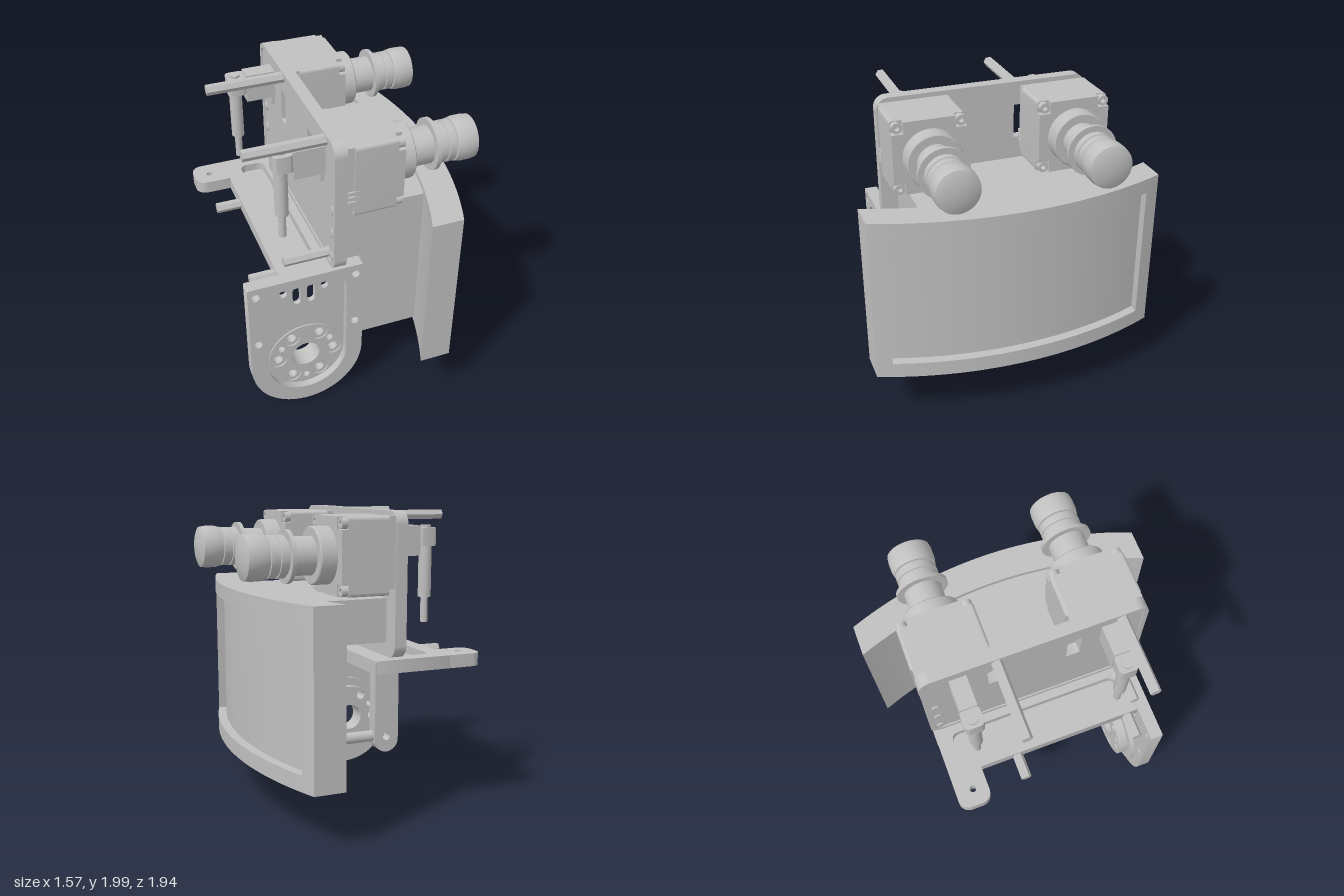
import * as THREE from 'three';
import { toCreasedNormals } from 'three/addons/utils/BufferGeometryUtils.js';

const metal = new THREE.MeshStandardMaterial({ color: 0xc0c0c0 });
metal.name = 'plain grey';

export function createModel() {
  const root = new THREE.Group();
  root.name = 'twinSwitchBracket';

  const add = (name, geometry, parent = root) => {
    const mesh = new THREE.Mesh(toCreasedNormals(geometry, 0.5), metal);
    mesh.name = name;
    parent.add(mesh);
    return mesh;
  };
  const box = (name, x0, x1, y0, y1, z0, z1, parent) =>
    add(name, new THREE.BoxGeometry(x1 - x0, y1 - y0, z1 - z0)
      .translate((x0 + x1) / 2, (y0 + y1) / 2, (z0 + z1) / 2), parent);

  // Extrusions along each axis; shapes lie in (x,y), (z,y) and (x,z)
  const extrude = (s, depth) => new THREE.ExtrudeGeometry(s, { depth, bevelEnabled: false, curveSegments: 16 });
  const alongZ = (name, s, z0, z1, parent) => add(name, extrude(s, z1 - z0).translate(0, 0, z0), parent);
  const alongX = (name, s, x0, x1, parent) => add(name, extrude(s, x1 - x0).rotateY(-Math.PI / 2).translate(x1, 0, 0), parent);
  const alongY = (name, s, y0, y1, parent) => add(name, extrude(s, y1 - y0).rotateX(Math.PI / 2).translate(0, y1, 0), parent);

  const circle = (x, y, r) => new THREE.Shape().absarc(x, y, r, 0, Math.PI * 2, false);
  const rounded = (x0, y0, x1, y1, r) => {
    const s = new THREE.Shape(), h = Math.PI / 2;
    s.absarc(x1 - r, y1 - r, r, 0, h, false);
    s.absarc(x0 + r, y1 - r, r, h, 2 * h, false);
    s.absarc(x0 + r, y0 + r, r, 2 * h, 3 * h, false);
    s.absarc(x1 - r, y0 + r, r, 3 * h, 4 * h, false);
    s.closePath();
    return s;
  };
  const cut = (s, ...holes) => { s.holes.push(...holes); return s; };
  // Outline with a semicircular lower end and rounded upper corners
  const uShape = (cx, cy, r, top, c) => {
    const s = new THREE.Shape();
    s.absarc(cx, cy, r, Math.PI, Math.PI * 2, false);
    s.absarc(cx + r - c, top - c, c, 0, Math.PI / 2, false);
    s.absarc(cx - r + c, top - c, c, Math.PI / 2, Math.PI, false);
    s.closePath();
    return s;
  };
  const rodX = (name, x0, x1, y, z, r, sides = 24, parent = root) =>
    add(name, new THREE.CylinderGeometry(r, r, x1 - x0, sides)
      .rotateZ(-Math.PI / 2).translate((x0 + x1) / 2, y, z), parent);

  // Curved screen: slab plus a raised frame
  const R = 2.635;
  const arc = (mid, z0, z1, n = 28) => Array.from({ length: n + 1 }, (_, i) => {
    const z = z0 + (z1 - z0) * i / n;
    return new THREE.Vector2(mid - R + Math.sqrt(R * R - z * z), z);
  });
  const band = (mid0, mid1, z0, z1) => new THREE.Shape([...arc(mid1, z0, z1), ...arc(mid0, z1, z0)]);
  const screen = new THREE.Group();
  screen.name = 'curvedScreen';
  root.add(screen);
  alongY('screenSlab', band(0.477, 0.62, -0.97, 0.97), 0.37, 1.49, screen);
  alongY('frameBottom', band(0.62, 0.682, -0.97, 0.97), 0.37, 0.475, screen);
  alongY('frameTop', band(0.62, 0.682, -0.97, 0.97), 1.39, 1.49, screen);
  for (const [a, b] of [[-0.97, -0.87], [0.87, 0.97]])
    alongY('frameSide', band(0.62, 0.682, a, b), 0.475, 1.39, screen);

  // Screen carrier: upper block fitted to the curve, side panel and fixing posts
  alongY('carrierBlock', new THREE.Shape([...arc(0.477, -0.6, 0.61),
    new THREE.Vector2(-0.145, 0.61), new THREE.Vector2(-0.145, -0.6)]), 1.18, 1.46);
  box('sidePanel', -0.145, 0.405, 0.41, 1.18, 0.56, 0.61);
  rodX('screenPost', 0.32, 0.42, 1.15, -0.61, 0.035);
  rodX('screenPost', 0.32, 0.45, 1.15, 0.5, 0.035);
  for (const z of [-0.5, 0.5]) rodX('screenPost', 0.26, 0.45, 0.67, z, 0.035);
  rodX('armPost', -0.08, 0.41, 0.6, -0.66, 0.035);

  // Upright mounting plate
  const plate = rounded(-0.72, 1.09, 0.72, 2.0, 0.08);
  for (const s of [-1, 1]) {
    const a = s > 0 ? 0.21 : -0.3;
    cut(plate, rounded(a, 1.61, a + 0.09, 1.84, 0.005));
  }
  alongX('uprightPlate', plate, -0.215, -0.145);
  alongX('uprightRim', cut(rounded(-0.72, 1.09, 0.72, 2.0, 0.08), rounded(-0.69, 1.12, 0.69, 1.97, 0.06)), -0.225, -0.215);
  for (const z of [-0.65, 0.65])
    for (const y of [1.17, 1.35, 1.52]) rodX('plateScrew', -0.225, -0.2, y, z, 0.03);

  // Horizontal tray with recess, and the rear ear
  alongY('trayRim', cut(rounded(-0.555, -0.71, -0.02, 0.63, 0.01), rounded(-0.45, -0.61, -0.28, 0.55, 0.05)), 1.03, 1.085);
  alongY('trayFloor', rounded(-0.555, -0.71, -0.02, 0.63, 0.01), 1.0, 1.03);
  alongY('trayEar', cut(rounded(-0.785, -0.71, -0.5, -0.495, 0.07), circle(-0.675, -0.595, 0.022)), 1.0, 1.085);

  // Rear hanging arm
  alongZ('rearArm', cut(uShape(-0.1, 0.58, 0.08, 1.08, 0.01), circle(-0.1, 0.6, 0.025)), -0.71, -0.63);

  // Front hub plate
  const cx = -0.4, cy = 0.388;
  const bolts = [0, 1, 2, 3, 4, 5].map(i => [cx + 0.19 * Math.cos(i * Math.PI / 3), cy + 0.19 * Math.sin(i * Math.PI / 3)]);
  const pins = [[-0.568, 0.485], [-0.235, 0.485], [cx, 0.195]];
  const corners = [[-0.73, 1.02], [-0.075, 1.02], [-0.73, 0.62], [-0.075, 0.62]];
  const hubHoles = r => [circle(cx, cy, 0.095), ...bolts.map(p => circle(...p, r)), ...pins.map(p => circle(...p, 0.024))];
  const cornerHoles = r => corners.map(p => circle(...p, r));
  const hub = new THREE.Group();
  hub.name = 'hubPlate';
  root.add(hub);
  alongZ('hubRim', cut(uShape(cx, cy, 0.38, 1.09, 0.01), uShape(cx, cy, 0.268, 1.02, 0.09), ...cornerHoles(0.028)), 0.65, 0.7, hub);
  alongZ('hubFloor', cut(uShape(cx, cy, 0.38, 1.09, 0.01), ...hubHoles(0.032), ...cornerHoles(0.024),
    rounded(-0.477, 0.84, -0.425, 0.975, 0.025), rounded(-0.382, 0.84, -0.33, 0.975, 0.025),
    circle(-0.54, 0.948, 0.027), circle(-0.267, 0.948, 0.027)), 0.615, 0.65, hub);
  alongZ('hubFace', cut(circle(cx, cy, 0.255), ...hubHoles(0.058)), 0.65, 0.66, hub);
  alongZ('hubStep', cut(circle(cx, cy, 0.3), ...hubHoles(0.032)), 0.585, 0.615, hub);
  alongZ('hubBoss', cut(circle(cx, cy, 0.24), ...hubHoles(0.032)), 0.52, 0.585, hub);

  // Hexagonal standoffs
  for (const z of [-0.24, 0.545]) {
    rodX('upperStandoff', -0.72, -0.2, 1.957, z, 0.035, 6);
    rodX('lowerStandoff', -0.72, -0.54, 1.04, z, 0.035, 6);
  }
  rodX('shortStandoff', -0.515, -0.2, 1.17, 0.6, 0.033, 6);

  // Button units with rear switch and plunger, one on each side
  const profile = [[0, 0.2], [0.18, 0.2], [0.18, 0.315], [0.173, 0.322], [0.12, 0.322], [0.12, 0.468], [0.165, 0.468],
    [0.165, 0.494], [0.12, 0.494], [0.12, 0.505], [0.132, 0.505], [0.132, 0.55], [0.122, 0.553], [0.122, 0.562],
    [0.132, 0.565], [0.132, 0.612], [0.12, 0.615], [0.12, 0.62], [0.135, 0.622], [0.143, 0.66], [0.143, 0.72],
    [0.138, 0.755], [0.115, 0.765], [0.06, 0.777], [0, 0.78]].map(p => new THREE.Vector2(...p));
  for (const s of [-1, 1]) {
    const unit = new THREE.Group();
    unit.name = s > 0 ? 'frontButtonUnit' : 'rearButtonUnit';
    unit.position.set(0, 1.73, s > 0 ? 0.478 : -0.483);
    root.add(unit);
    add('button', new THREE.LatheGeometry(profile, 40).rotateZ(-Math.PI / 2), unit);
    alongX('housing', rounded(-0.24, -0.24, 0.24, 0.24, 0.02), -0.1, 0.17, unit);
    box('housingBack', -0.145, -0.1, -0.2, 0.24, -0.23, 0.23, unit);
    // Front layer with clipped corners that leave room for the screws
    const k = 0.24, n = 0.165;
    alongX('housingFront', new THREE.Shape([[k, -n], [k, n], [n, n], [n, k], [-n, k], [-n, n], [-k, n], [-k, -n],
      [-n, -n], [-n, -k], [n, -k], [n, -n]].map(p => new THREE.Vector2(...p))), 0.17, 0.215, unit);
    for (const a of [-1, 1]) for (const b of [-1, 1]) {
      alongX('housingScrew', cut(circle(a * 0.203, b * 0.203, 0.034), circle(a * 0.203, b * 0.203, 0.016)), 0.16, 0.21, unit);
    }
    // Terminal ribs on the housing side
    for (const y of [-0.15, -0.115, -0.08]) box('terminalRib', -0.14, -0.07, y, y + 0.022, 0.22, 0.243, unit);
    // Switch body, head and plunger
    box('switchBody', -0.41, -0.21, -0.02, 0.17, -0.055, 0.055, unit);
    box('switchFoot', -0.24, -0.21, -0.08, -0.02, -0.04, 0.04, unit);
    const upright = (name, r, y0, y1) =>
      add(name, new THREE.CylinderGeometry(r, r, y1 - y0, 24).translate(-0.475, (y0 + y1) / 2, 0), unit);
    alongY('plungerHead', rounded(-0.53, -0.062, -0.405, 0.062, 0.03), 0.04, 0.155, unit);
    upright('plungerCap', 0.035, 0.155, 0.17);
    upright('plungerRod', 0.042, -0.29, 0.04);
    upright('plungerTip', 0.024, -0.455, -0.29);
  }
  return root;
}
